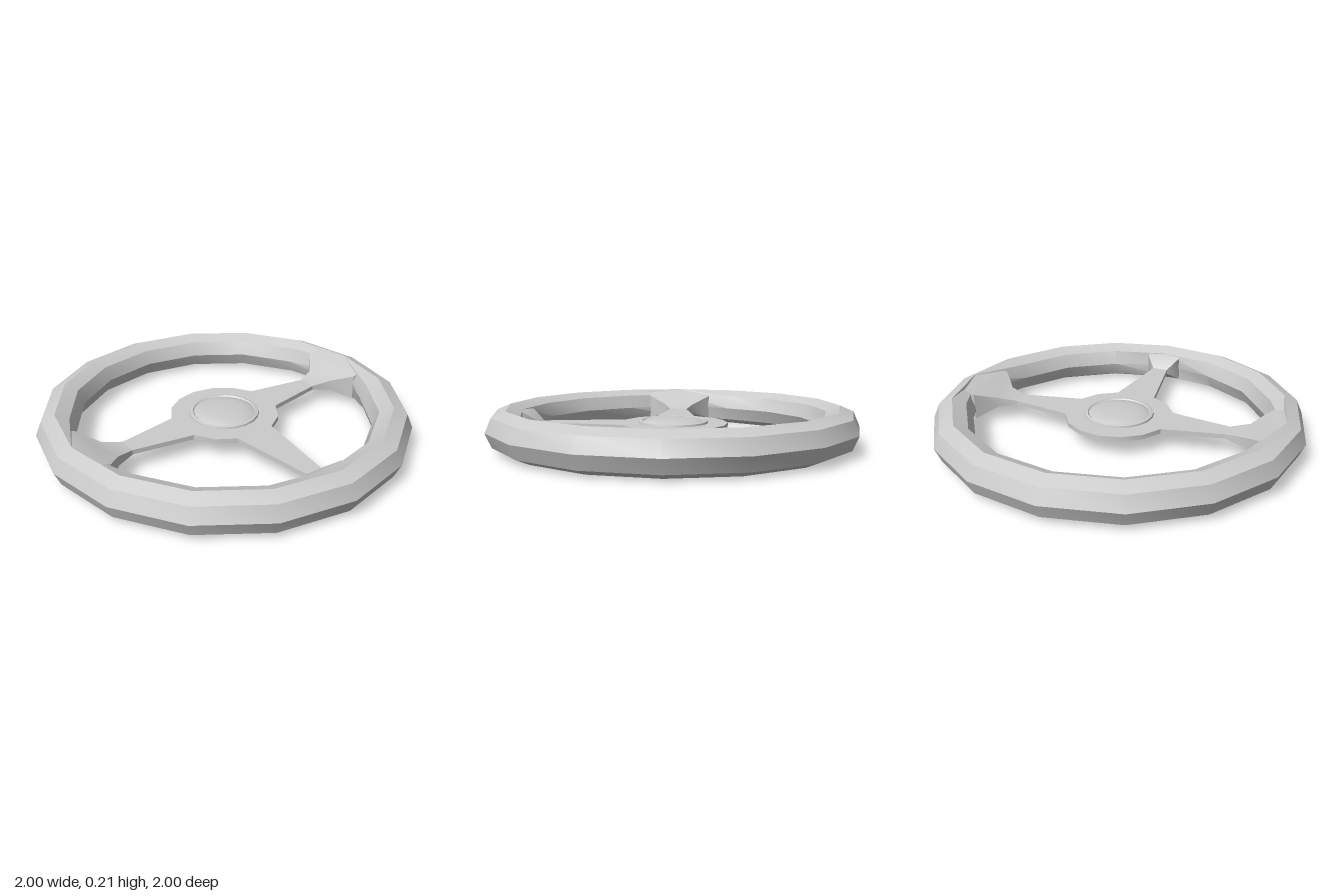
import * as THREE from 'three';
import { toCreasedNormals } from 'three/addons/utils/BufferGeometryUtils.js';

const material = new THREE.MeshStandardMaterial({ color: 0xcccccc, side: THREE.DoubleSide });
const PLATE_BOTTOM = 0.09, PLATE_TOP = 0.115;

function part(name, geometry, crease = 0.5) {
  const mesh = new THREE.Mesh(toCreasedNormals(geometry, crease), material);
  mesh.name = name;
  return mesh;
}

// Sixteen-sided rim with an octagonal section
function makeRim() {
  const profile = [
    [1, 0.106], [0.967, 0.182], [0.895, 0.213], [0.822, 0.182],
    [0.79, 0.106], [0.822, 0.031], [0.895, 0], [0.967, 0.031], [1, 0.106],
  ].map(([r, y]) => new THREE.Vector2(r, y));
  const geometry = new THREE.LatheGeometry(profile, 16);
  const pos = geometry.attributes.position;
  // Hollow the inner wall where the spokes join it
  const joints = { 0: 0.825, 4: 0.88, 12: 0.88, 16: 0.825 };
  for (const [segment, radius] of Object.entries(joints)) {
    for (const j of [3, 4, 5]) {
      const i = Number(segment) * profile.length + j;
      const scale = radius / Math.hypot(pos.getX(i), pos.getZ(i));
      pos.setX(i, pos.getX(i) * scale);
      pos.setZ(i, pos.getZ(i) * scale);
    }
  }
  return part('rim', geometry);
}

// Flat hub with three tapering spokes, cut from one sheet
function makePlate() {
  const half = [
    [0, -0.295], [0.113, -0.272], [0.208, -0.208], [0.272, -0.108], [0.6, -0.05],
    [0.6, 0.05], [0.272, 0.108], [0.208, 0.208], [0.11, 0.27], [0.045, 0.72],
  ];
  const mirrored = half.slice(1).reverse().map(([x, z]) => [-x, z]);
  const shape = new THREE.Shape([...half, ...mirrored].map(([x, z]) => new THREE.Vector2(x, z)));
  const geometry = new THREE.ExtrudeGeometry(shape, {
    depth: PLATE_TOP - PLATE_BOTTOM, bevelEnabled: false,
  });
  geometry.rotateX(Math.PI / 2).translate(0, PLATE_TOP, 0);
  return part('hubAndSpokes', geometry);
}

// Rectangular sections [x, half width, bottom, top] joined along x
function makeFlare(name, sections, angle) {
  const vertices = [], indices = [];
  sections.forEach(([x, w, y0, y1], i) => {
    vertices.push(x, y0, -w, x, y1, -w, x, y1, w, x, y0, w);
    if (i === sections.length - 1) return;
    for (let j = 0; j < 4; j++) {
      const a = i * 4 + j, b = i * 4 + (j + 1) % 4;
      indices.push(a, b, b + 4, a, b + 4, a + 4);
    }
  });
  const geometry = new THREE.BufferGeometry();
  geometry.setAttribute('position', new THREE.Float32BufferAttribute(vertices, 3));
  geometry.setIndex(indices);
  const mesh = part(name, geometry, 0.75);
  mesh.rotation.y = angle;
  return mesh;
}

// Shallow domed cap with a raised lip
function makeCap() {
  const points = [
    [0.19, 0.112], [0.187, 0.125], [0.172, 0.129], [0.165, 0.122],
    [0.15, 0.13], [0.11, 0.137], [0.06, 0.141], [0, 0.142],
  ].map(([r, y]) => new THREE.Vector2(r, y));
  return part('hubCap', new THREE.LatheGeometry(points, 20));
}

export function createModel() {
  const group = new THREE.Group();
  group.name = 'steeringWheel';
  const side = [
    [0.6, 0.05, PLATE_BOTTOM, PLATE_TOP], [0.7, 0.085, 0.078, 0.132],
    [0.79, 0.19, 0.035, 0.178], [0.86, 0.19, 0.014, 0.2], [0.895, 0.02, 0.002, 0.211],
  ];
  const front = [
    [0.72, 0.045, PLATE_BOTTOM, PLATE_TOP], [0.79, 0.1, 0.04, 0.172],
    [0.85, 0.1, 0.025, 0.188],
  ];
  group.add(
    makeRim(),
    makePlate(),
    makeCap(),
    makeFlare('leftSpokeFlare', side, 0),
    makeFlare('rightSpokeFlare', side, Math.PI),
    makeFlare('frontSpokeFlare', front, -Math.PI / 2),
  );
  return group;
}
